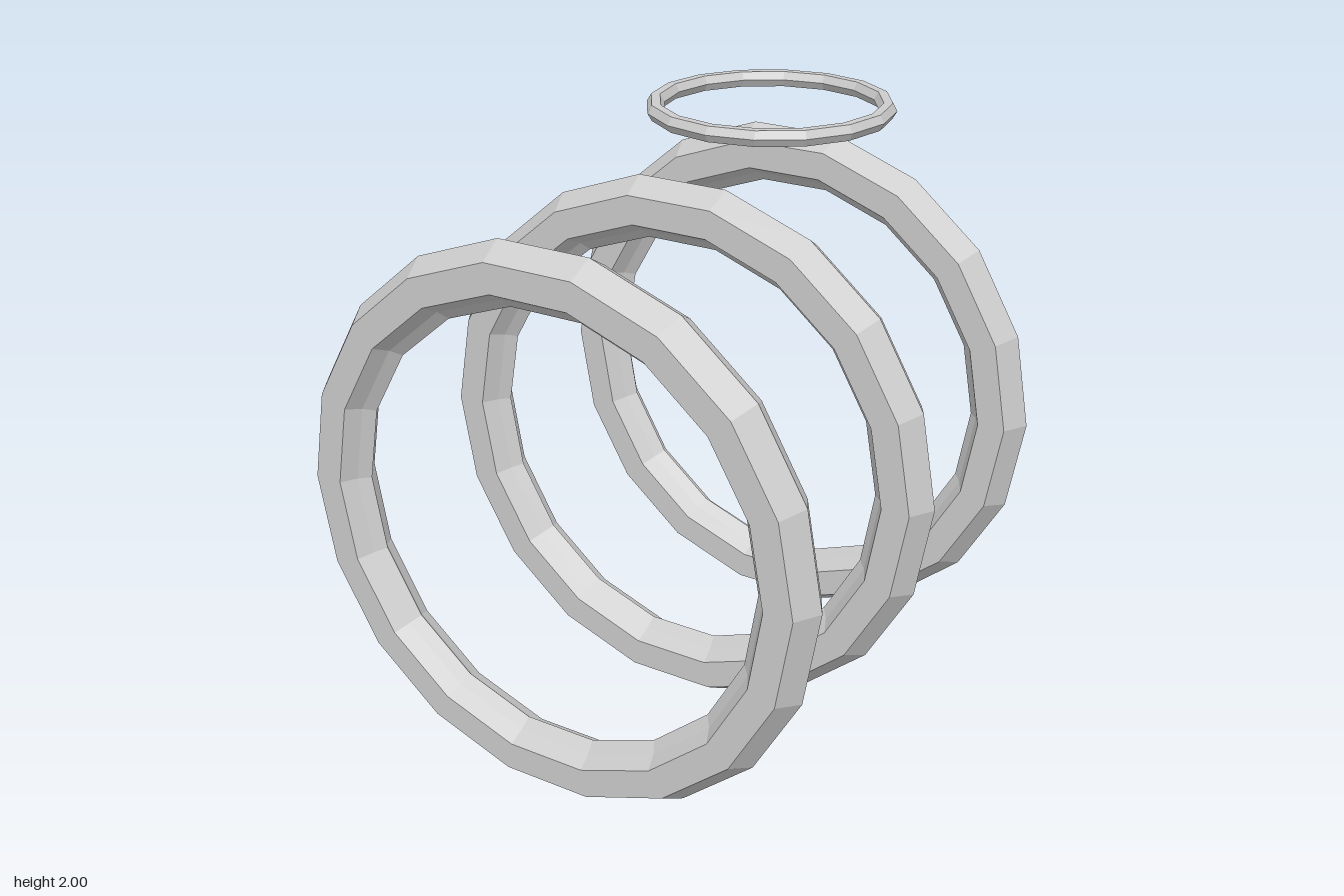
import * as THREE from 'three';

export function createModel() {
  const model = new THREE.Group();
  const grey = new THREE.MeshStandardMaterial({ color: 0xcccccc });
  grey.flatShading = true;

  const ring = (name, radius, tube, tubeSides, sides) => {
    const mesh = new THREE.Mesh(new THREE.TorusGeometry(radius, tube, tubeSides, sides), grey);
    mesh.name = name;
    return mesh;
  };

  // Three upright hoops, each with a thin ridge along its inside
  const names = ['frontHoop', 'middleHoop', 'backHoop'];
  [0.836, 0.083, -0.67].forEach((z, i) => {
    const hoop = new THREE.Group();
    hoop.name = names[i];
    hoop.add(ring('hoopBody', 0.843, 0.098, 6, 18));
    hoop.add(ring('innerRidge', 0.771, 0.04, 4, 18));
    hoop.position.set(0, 0.927, z);
    model.add(hoop);
  });

  // Small level ring floating above the gap near the back
  const topRing = ring('topRing', 0.4, 0.031, 6, 16);
  topRing.rotation.x = Math.PI / 2;
  topRing.position.set(0, 1.973, -0.489);
  model.add(topRing);

  return model;
}
